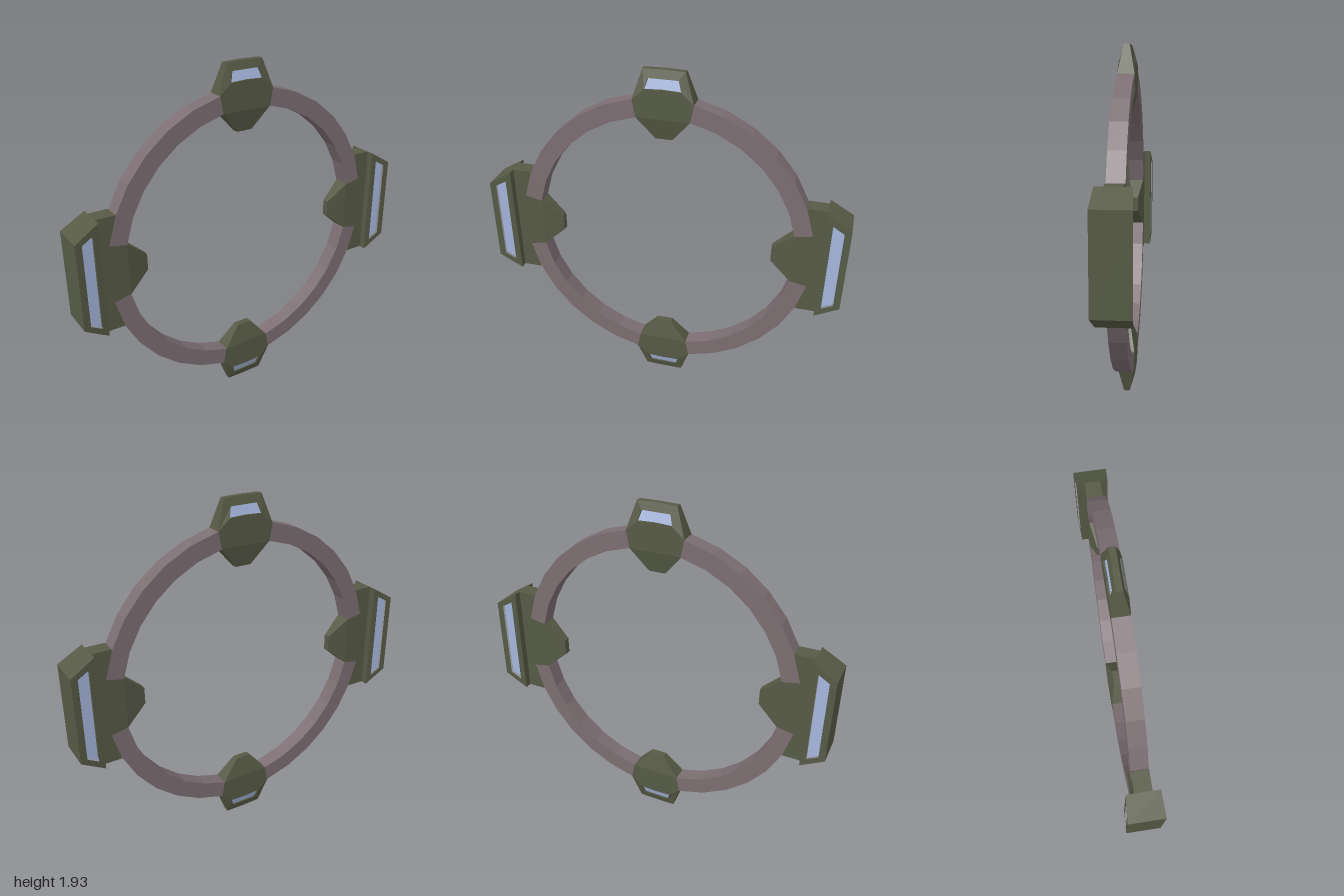
import * as THREE from 'three';

const OLIVE = new THREE.MeshStandardMaterial({ color: 0x565a45, flatShading: true });
const MAUVE = new THREE.MeshStandardMaterial({ color: 0x7c6e72, flatShading: true });
const BLUE = new THREE.MeshStandardMaterial({ color: 0xa5b5dc, flatShading: true });

const STEP = Math.PI / 16; // the ring has 32 sides
const R_IN = 0.73, R_OUT = 0.826, DEPTH = 0.045;
const polar = (r, i) => [r * Math.cos(i * STEP), r * Math.sin(i * STEP)];
const toVectors = (pts) => pts.map(([x, y]) => new THREE.Vector2(x, y));

// Half an outline (y >= 0) completed by its mirror image
const mirror = (half) => [
  ...half,
  ...half.filter(([, y]) => y > 0).reverse().map(([x, y]) => [x, -y]),
];

// Linear half depth between two radii
const taper = (x0, d0, x1, d1) => (x) =>
  THREE.MathUtils.lerp(d0, d1, THREE.MathUtils.clamp((x - x0) / (x1 - x0), 0, 1));

// Flat plate, symmetric about z = 0, whose half depth follows a rule of x
function slab(name, pts, material, depthAt, hole) {
  const shape = new THREE.Shape(toVectors(pts));
  if (hole) shape.holes.push(new THREE.Path(toVectors(hole)));
  const geo = new THREE.ExtrudeGeometry(shape, { depth: 1, bevelEnabled: false });
  const p = geo.attributes.position;
  for (let i = 0; i < p.count; i++) {
    p.setZ(i, (p.getZ(i) > 0.5 ? 1 : -1) * depthAt(p.getX(i)));
  }
  geo.computeVertexNormals();
  const mesh = new THREE.Mesh(geo, material);
  mesh.name = name;
  return mesh;
}

const flat = () => DEPTH;

// Wedge pointing towards the centre of the ring
const innerTip = () => slab('innerTip',
  mirror([[0.6, 0.045], polar(R_IN, 1)]), OLIVE, taper(0.6, 0.018, 0.715, DEPTH));

// Small clamp at the top and bottom; local +x points outward
function createClamp() {
  const g = new THREE.Group();
  const frameDepth = taper(0.868, DEPTH, 0.967, 0.015);
  const windowPts = mirror([[0.868, 0.095], [0.922, 0.078]]);
  g.add(
    innerTip(),
    slab('clampBody', mirror([polar(R_IN, 1), polar(R_OUT, 1), [0.868, 0.095], [0.872, 0]]), OLIVE, flat),
    slab('windowFrame',
      mirror([[0.922, 0.078], [0.868, 0.095], polar(R_OUT, 1), [0.964, 0.11], [0.967, 0]]),
      OLIVE, frameDepth),
    slab('clampWindow', windowPts, BLUE, (x) => frameDepth(x) - 0.009),
  );
  return g;
}

// Large pod at each side; local +x points outward
function createPod() {
  const g = new THREE.Group();
  const podDepth = taper(0.87, 0.086, 1, 0.095);
  const windowPts = mirror([[0.903, 0.262], [0.964, 0.227]]);
  g.add(
    innerTip(),
    slab('podPlate',
      mirror([polar(R_IN, 1), polar(R_OUT, 1), polar(R_OUT, 2), [0.765, 0.319], [0.87, 0.319]]),
      OLIVE, flat),
    slab('podHousing', mirror([[0.87, 0.319], [1, 0.24]]), OLIVE, podDepth, windowPts),
    slab('podWindow', windowPts, BLUE, (x) => podDepth(x) - 0.015),
  );
  return g;
}

export function createModel() {
  const model = new THREE.Group();
  model.name = 'ringStation';

  // Four ring arcs between the clamps and pods
  const steps = [1, 2, 3, 4, 5, 6, 7];
  const arc = [
    ...steps.map((i) => polar(R_OUT, i)),
    ...steps.slice().reverse().map((i) => polar(R_IN, i)),
  ];
  for (let q = 0; q < 4; q++) {
    const ring = slab('ringArc', arc, MAUVE, flat);
    ring.rotation.z = q * Math.PI / 2;
    model.add(ring);
  }

  // Pods left and right, clamps top and bottom
  const fittings = [
    ['leftPod', createPod], ['topClamp', createClamp],
    ['rightPod', createPod], ['bottomClamp', createClamp],
  ];
  fittings.forEach(([name, make], q) => {
    const part = make();
    part.name = name;
    part.rotation.z = q * Math.PI / 2;
    model.add(part);
  });

  model.children.forEach((c) => { c.position.y = 0.967; });
  return model;
}
